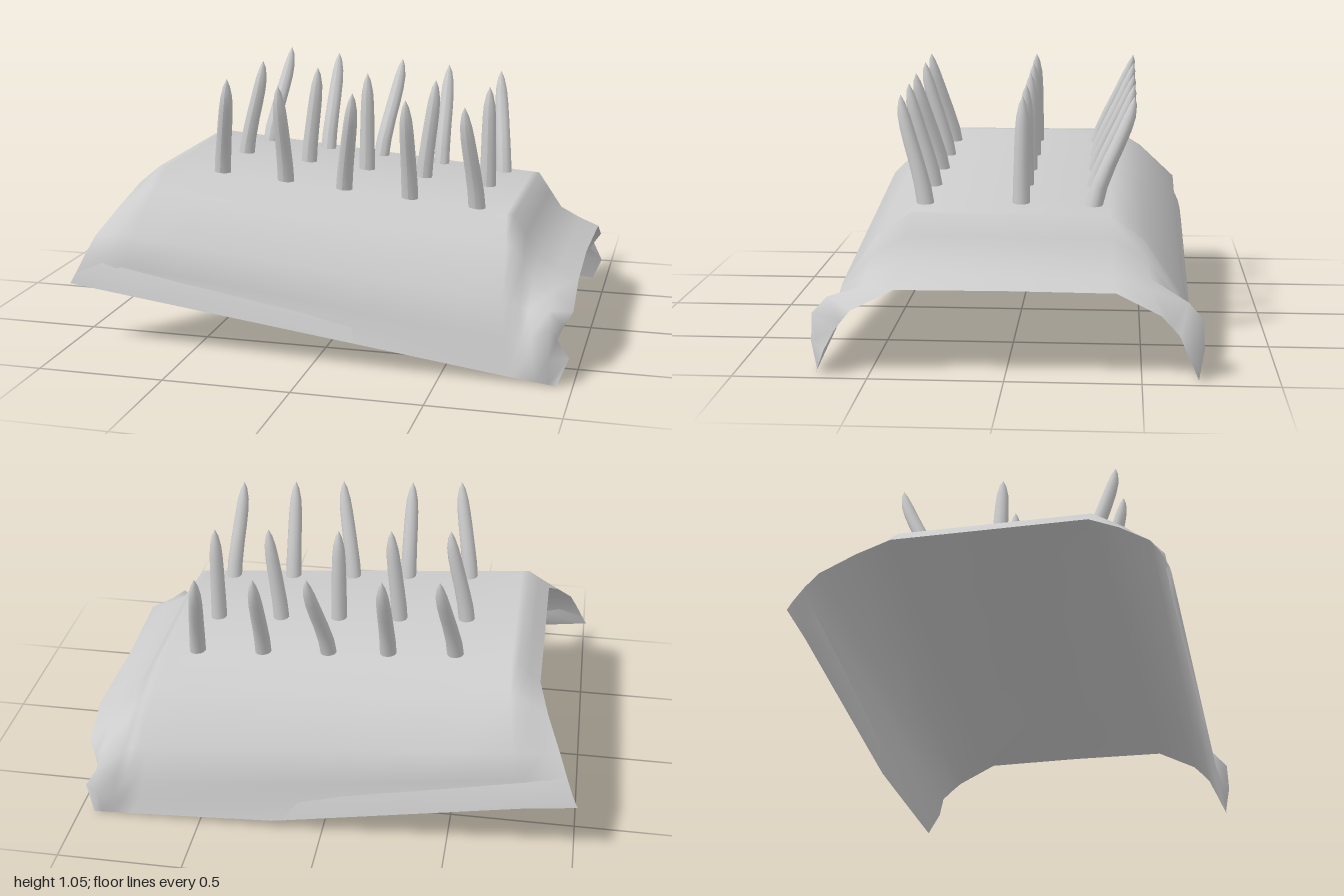
import * as THREE from 'three';

const material = new THREE.MeshStandardMaterial({ color: 0xcccccc, side: THREE.DoubleSide });

// Half cross-sections, from the centre line down to the lower edge: [x, y, z]
const leftRim = [[-0.82, 0.6, 0], [-0.82, 0.6, 0.38], [-0.86, 0.53, 0.5], [-0.92, 0.43, 0.62],
  [-0.95, 0.36, 0.66], [-0.98, 0.29, 0.69], [-1, 0.25, 0.7]];
const bodyLeft = [[-0.73, 0.675, 0], [-0.73, 0.675, 0.38], [-0.74, 0.6, 0.5], [-0.77, 0.45, 0.655],
  [-0.79, 0.33, 0.665], [-0.8, 0.27, 0.675], [-0.8, 0.224, 0.7]];
const bodyRight = [[0.72, 0.56, 0], [0.72, 0.56, 0.37], [0.74, 0.47, 0.5], [0.75, 0.29, 0.63],
  [0.77, 0.15, 0.67], [0.78, 0.08, 0.685], [0.78, 0.02, 0.7]];
const flangeFold = [[0.82, 0.41, 0], [0.82, 0.41, 0.38], [0.82, 0.35, 0.52], [0.82, 0.26, 0.62],
  [0.84, 0.18, 0.68], [0.85, 0.09, 0.71], [0.86, 0.01, 0.7]];
const flangeCrest = [[0.9, 0.365, 0], [0.9, 0.365, 0.39], [0.9, 0.32, 0.53], [0.9, 0.28, 0.66],
  [0.91, 0.22, 0.715], [0.91, 0.11, 0.72], [0.91, 0.004, 0.7]];
const flangeRim = [[0.97, 0.33, 0], [0.98, 0.33, 0.4], [0.98, 0.25, 0.56], [0.95, 0.2, 0.6],
  [0.93, 0.16, 0.63], [0.98, 0.1, 0.66], [0.94, 0, 0.7]];

const mix = (a, b, t) => a.map((p, i) => p.map((v, k) => v + (b[i][k] - v) * t));

// The back lower edge hangs down, most at x = 0.2
const sagAt = x => 0.055 * Math.max(0, x < 0.2 ? (x + 0.8) : 1 - (x - 0.2) / 0.74);

// Arched sheet lofted along x through the mirrored cross-sections
function loftArch(stations, name) {
  const positions = [], indices = [];
  const n = leftRim.length, columns = n * 2 - 1;
  stations.forEach((half, i) => {
    for (let j = 0; j < columns; j++) {
      const k = Math.abs(n - 1 - j), back = j > n - 1;
      const [x, y, z] = half[k];
      const sag = back && k >= 4 ? sagAt(x) * (k - 3) / 3 : 0;
      positions.push(x, y - sag, back ? -z * 1.01 : z);
      if (i && j) {
        const d = i * columns + j, c = d - 1, b = d - columns, a = b - 1;
        indices.push(a, c, d, a, d, b);
      }
    }
  });
  const geometry = new THREE.BufferGeometry();
  geometry.setAttribute('position', new THREE.Float32BufferAttribute(positions, 3));
  geometry.setIndex(indices);
  geometry.computeVertexNormals();
  const mesh = new THREE.Mesh(geometry, material);
  mesh.name = name;
  return mesh;
}

// Tapered round spike, bent sideways from its base to its tip
function makeSpike([x0, z0], [x1, z1]) {
  const base = 0.617 - 0.079 * x0 - 0.02, top = 1.02 - 0.065 * x0;
  const profile = [[0.034, 0], [0.033, 0.2], [0.031, 0.4], [0.03, 0.55], [0.028, 0.7],
    [0.024, 0.82], [0.014, 0.93], [0.0005, 1]];
  const geometry = new THREE.LatheGeometry(profile.map(([r, y]) => new THREE.Vector2(r, y)), 12);
  const p = geometry.attributes.position;
  for (let i = 0; i < p.count; i++) {
    const t = p.getY(i), s = 0.4 * t + 0.6 * t * t * (3 - 2 * t);
    p.setXYZ(i, p.getX(i) + x0 + (x1 - x0) * s, base + (top - base) * t, p.getZ(i) + z0 + (z1 - z0) * s);
  }
  geometry.computeVertexNormals();
  return new THREE.Mesh(geometry, material);
}

export function createModel() {
  const model = new THREE.Group();

  // Outer plate with a bevelled left end and a crumpled flange on the right
  const body = [0, 0.02, 0.15, 0.3, 0.45, 0.6, 0.75, 0.88, 0.98, 1].map(t => mix(bodyLeft, bodyRight, t));
  model.add(loftArch([leftRim, mix(leftRim, bodyLeft, 0.5), ...body,
    mix(bodyRight, flangeFold, 0.5), flangeFold, flangeCrest, flangeRim], 'archedPlate'));

  // Underside running straight from rim to rim
  const under = [0, 0.1, 0.35, 0.62, 0.8, 1].map(t => mix(leftRim, flangeRim, t));
  model.add(loftArch(under, 'underside'));

  // Three rows of five spikes: base z, tip z, and [base x, tip x] for each
  const rows = [
    { name: 'frontSpike', z: [0.33, 0.43], x: [[-0.48, -0.42], [-0.21, -0.21], [0.03, 0.09], [0.3, 0.3], [0.57, 0.53]] },
    { name: 'middleSpike', z: [-0.035, -0.04], x: [[-0.5, -0.42], [-0.22, -0.18], [0.035, 0.035], [0.28, 0.325], [0.55, 0.55]] },
    { name: 'backSpike', z: [-0.31, -0.465], x: [[-0.48, -0.42], [-0.21, -0.2], [0.03, 0.09], [0.3, 0.3], [0.575, 0.53]] },
  ];
  for (const { name, z, x } of rows) {
    x.forEach(([xa, xb], i) => {
      const spike = makeSpike([xa, z[0]], [xb, z[1]]);
      spike.name = name + (i + 1);
      model.add(spike);
    });
  }
  return model;
}
